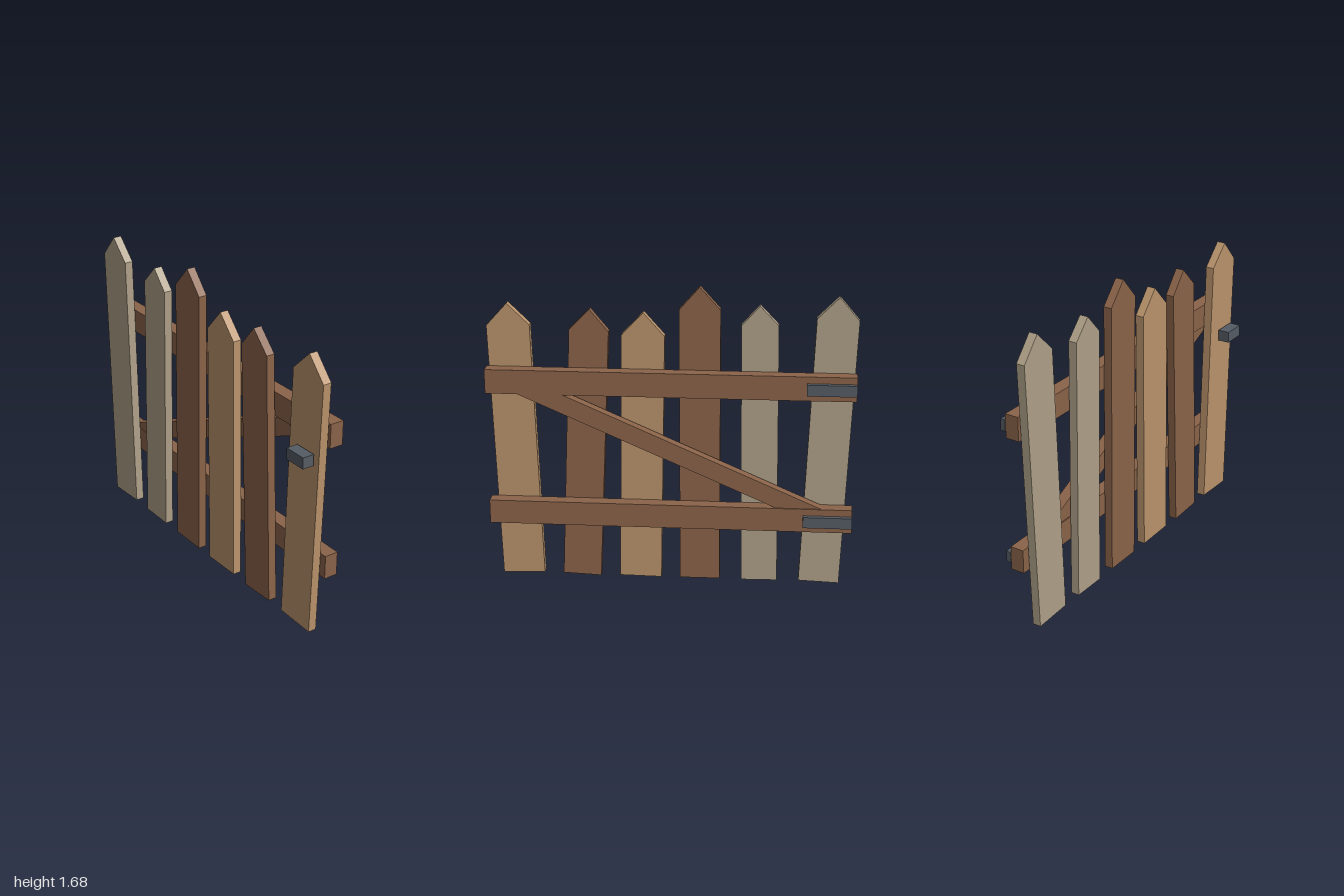
import * as THREE from 'three';

const mat = (name, color) => {
  const m = new THREE.MeshStandardMaterial({ color });
  m.name = name;
  return m;
};

export function createModel() {
  const gate = new THREE.Group();
  gate.name = 'picketGate';
  const brown = mat('brownWood', 0x8a6349);
  const tan = mat('tanWood', 0xb9936b);
  const grey = mat('weatheredWood', 0xaea088);
  const iron = mat('darkIron', 0x555c64);

  // Box given by its extents on each axis
  function box(name, material, [x0, x1], [y0, y1], [z0, z1]) {
    const mesh = new THREE.Mesh(new THREE.BoxGeometry(x1 - x0, y1 - y0, z1 - z0), material);
    mesh.position.set((x0 + x1) / 2, (y0 + y1) / 2, (z0 + z1) / 2);
    mesh.name = name;
    gate.add(mesh);
    return mesh;
  }

  // Pointed board standing on its bottom centre, leaning by tilt
  function picket(i, material, width, shoulder, height, tilt) {
    const w = width / 2;
    const shape = new THREE.Shape([[-w, 0], [w, 0], [w, shoulder], [0, height], [-w, shoulder]]
      .map(([x, y]) => new THREE.Vector2(x, y)));
    const geo = new THREE.ExtrudeGeometry(shape, { depth: 0.048, bevelEnabled: false });
    const mesh = new THREE.Mesh(geo, material);
    mesh.position.set(-0.832 + i * 0.333, 0.006, -0.005);
    mesh.rotation.z = tilt;
    mesh.name = 'picket' + (i + 1);
    gate.add(mesh);
  }

  // Pickets: material, width, shoulder height, tip height, tilt
  [
    [grey, 0.225, 1.513, 1.635, 0.038],
    [grey, 0.2, 1.472, 1.58, -0.0145],
    [brown, 0.222, 1.552, 1.676, -0.006],
    [tan, 0.233, 1.405, 1.532, 0.0137],
    [brown, 0.214, 1.428, 1.546, 0.042],
    [tan, 0.235, 1.449, 1.57, -0.031],
  ].forEach((p, i) => picket(i, ...p));

  // Rails with a hinge plate on the back of each
  for (const [label, y] of [['lower', 0.406], ['upper', 1.16]]) {
    box(label + 'Rail', brown, [-1, 1], [y - 0.067, y + 0.067], [-0.088, -0.01]);
    box(label + 'Hinge', iron, [-1, -0.733], [y - 0.031, y + 0.031], [-0.119, -0.091]);
  }

  // Diagonal brace, its ends buried in the rails
  const brace = box('brace', brown, [-0.925, 0.925], [0.733, 0.833], [-0.081, -0.016]);
  brace.rotation.z = 0.413;

  // Latch on the front
  box('latch', iron, [0.822, 0.953], [0.998, 1.062], [0.053, 0.119]);

  return gate;
}
